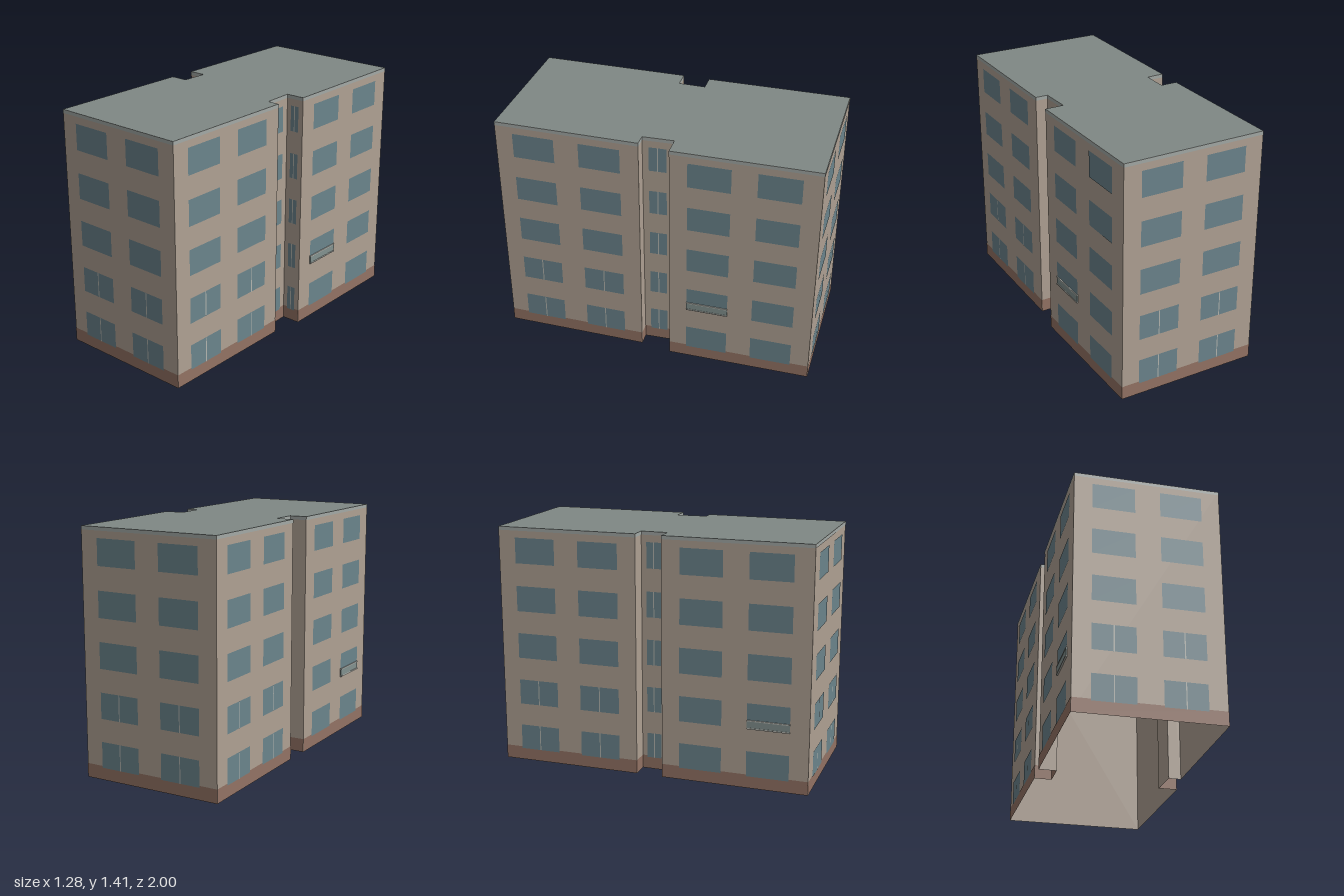
import * as THREE from 'three';

const HEIGHT = 1.41;
const FLOORS = [0.07, 0.352, 0.635, 0.917, 1.2]; // window sill heights
const WIN_H = 0.15;

const mat = (color, side = THREE.FrontSide) =>
  new THREE.MeshStandardMaterial({ color, side });
const wallMat = mat(0xafa193, THREE.DoubleSide);
const roofMat = mat(0x7f8885, THREE.DoubleSide);
const plinthMat = mat(0x937364);
const corniceMat = mat(0xa3a9a6);
const glassMat = mat(0x6b848c);
const frameMat = mat(0xb4b6b0);
const panelMat = mat(0x82918f);

// Plan corners [x, z], walked left to right as seen from outside
const P = {
  H: [-0.64, 0.79], G: [0.155, 1.0], F: [0.365, 0.19], E: [0.295, 0.172],
  D: [0.333, -0.005], C: [0.44, 0.022], B: [0.64, -0.79], A: [-0.178, -1.0],
  L: [-0.382, -0.19], K: [-0.285, -0.165], J: [-0.325, -0.015], I: [-0.425, -0.04],
};
const PAIR = [[0.123, 0.413], [0.585, 0.872]];

// Each wall: windows as fractions of its length, number of floors with a
// mullion, and the window that carries a balcony on the second floor
const WALLS = [
  { name: 'frontWall', ends: 'HG', windows: PAIR, mullions: 2 },
  { name: 'leftFrontWall', ends: 'GF', windows: PAIR, mullions: 2 },
  { name: 'leftNotchFrontReturn', ends: 'FE' },
  { name: 'leftNotchWall', ends: 'ED', windows: [[0.2, 0.76]], mullions: 5 },
  { name: 'leftNotchBackReturn', ends: 'DC', windows: [[0.26, 0.74]], mullions: 5 },
  { name: 'leftBackWall', ends: 'CB', windows: PAIR, balcony: 0 },
  { name: 'backWall', ends: 'BA', windows: PAIR, mullions: 2 },
  { name: 'rightBackWall', ends: 'AL', windows: PAIR, mullions: 2 },
  { name: 'rightNotchBackReturn', ends: 'LK' },
  { name: 'rightNotchWall', ends: 'KJ', windows: [[0.2, 0.76]], mullions: 5 },
  { name: 'rightNotchFrontReturn', ends: 'JI' },
  { name: 'rightFrontWall', ends: 'IH', windows: PAIR, balcony: 1 },
];

// Flat rectangle in wall coordinates, set slightly proud of the wall
function panel(parent, name, material, x0, x1, y0, y1, z) {
  const m = new THREE.Mesh(new THREE.PlaneGeometry(x1 - x0, y1 - y0), material);
  m.position.set((x0 + x1) / 2, (y0 + y1) / 2, z);
  m.name = name;
  parent.add(m);
}

function box(parent, name, material, x0, x1, y0, y1, depth) {
  const m = new THREE.Mesh(new THREE.BoxGeometry(x1 - x0, y1 - y0, depth), material);
  m.position.set((x0 + x1) / 2, (y0 + y1) / 2, depth / 2);
  m.name = name;
  parent.add(m);
}

// Shallow balcony guard: a panel between two rails
function addBalcony(parent, x0, x1) {
  const g = new THREE.Group();
  g.name = 'balcony';
  const y = FLOORS[1];
  box(g, 'balconyPanel', panelMat, x0, x1, y + 0.008, y + 0.046, 0.007);
  box(g, 'balconyTopRail', frameMat, x0, x1, y + 0.046, y + 0.053, 0.009);
  box(g, 'balconyBottomRail', frameMat, x0, x1, y, y + 0.008, 0.009);
  parent.add(g);
}

function buildWall({ name, ends, windows = [], mullions = 0, balcony = -1 }) {
  const [a, b] = [P[ends[0]], P[ends[1]]];
  const dx = b[0] - a[0], dz = b[1] - a[1];
  const len = Math.hypot(dx, dz);
  const g = new THREE.Group();
  g.name = name;
  g.position.set(a[0], 0, a[1]);
  g.rotation.y = Math.atan2(-dz, dx);

  panel(g, 'wallSurface', wallMat, 0, len, 0, HEIGHT, 0);
  panel(g, 'plinth', plinthMat, 0, len, 0, 0.08, 0.0015);
  panel(g, 'cornice', corniceMat, 0, len, HEIGHT - 0.02, HEIGHT, 0.0015);

  windows.forEach(([f0, f1], i) => {
    const x0 = f0 * len, x1 = f1 * len, mid = (x0 + x1) / 2;
    FLOORS.forEach((y, floor) => {
      panel(g, 'window', glassMat, x0, x1, y, y + WIN_H, 0.003);
      if (floor < mullions)
        panel(g, 'mullion', frameMat, mid - 0.003, mid + 0.003, y, y + WIN_H, 0.0045);
    });
    if (i === balcony) addBalcony(g, x0, x1);
  });
  return g;
}

export function createModel() {
  const model = new THREE.Group();
  model.name = 'apartmentBlock';
  WALLS.forEach((w) => model.add(buildWall(w)));

  // Flat roof following the plan; the underside of the block is open
  const outline = Object.values(P).map(([x, z]) => new THREE.Vector2(x, -z));
  const roof = new THREE.Mesh(new THREE.ShapeGeometry(new THREE.Shape(outline)), roofMat);
  roof.rotation.x = -Math.PI / 2;
  roof.position.y = HEIGHT;
  roof.name = 'roof';
  model.add(roof);
  return model;
}
